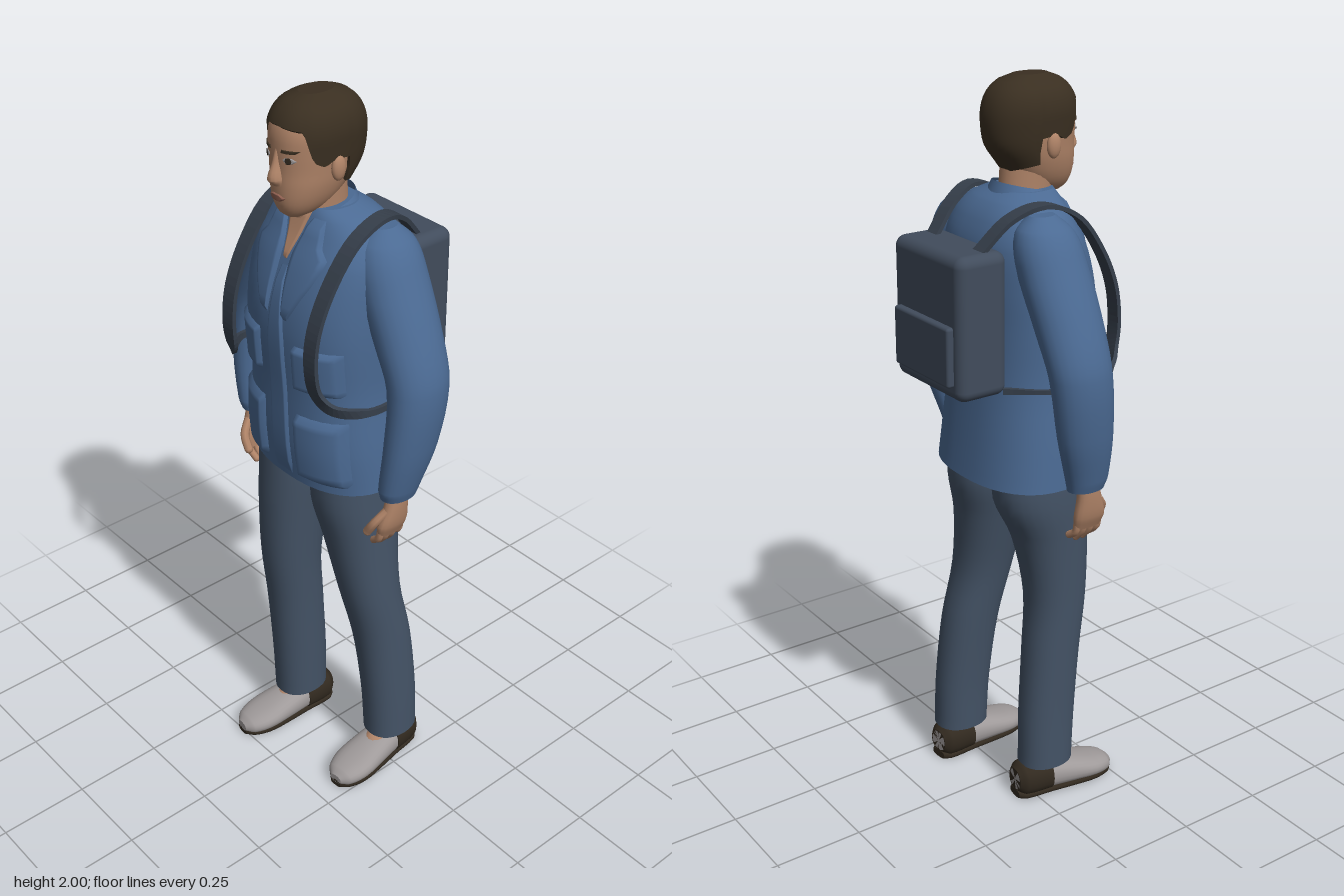
import * as THREE from 'three';
import { RoundedBoxGeometry } from 'three/addons/geometries/RoundedBoxGeometry.js';

const mat = (name, color, side = THREE.FrontSide) =>
  Object.assign(new THREE.MeshStandardMaterial({ color, side }), { name });

// A ring is [y, centreX, centreZ, radiusX, radiusZ]; smooth interpolation between rings.
function at(rings, y) {
  const n = rings.length - 1;
  y = Math.min(Math.max(y, rings[0][0]), rings[n][0]);
  let i = 0;
  while (i < n - 1 && y > rings[i + 1][0]) i++;
  const slope = (j, k) => {
    const a = rings[Math.max(j - 1, 0)], b = rings[Math.min(j + 1, n)];
    return (b[k] - a[k]) / (b[0] - a[0]);
  };
  const a = rings[i], b = rings[i + 1], h = b[0] - a[0], t = (y - a[0]) / h, t2 = t * t, t3 = t2 * t;
  return a.map((v, k) => k === 0 ? y :
    (2 * t3 - 3 * t2 + 1) * v + (t3 - 2 * t2 + t) * h * slope(i, k) +
    (3 * t2 - 2 * t3) * b[k] + (t3 - t2) * h * slope(i + 1, k));
}

// Point on a superelliptic ring; angle 0 is the front, growing towards +x.
function ringPoint([y, cx, cz, rx, rz], a, e, grow = 0) {
  const p = v => Math.sign(v) * Math.abs(v) ** (2 / e);
  return [cx + (rx + grow) * p(Math.sin(a)), y, cz + (rz + grow) * p(Math.cos(a))];
}

// Grid of points (rows upward, columns rightward) to a surface.
function surface(rows, cols, point, closed) {
  const pos = [], idx = [], w = closed ? cols : cols + 1;
  for (let i = 0; i <= rows; i++) for (let j = 0; j < w; j++) pos.push(...point(i / rows, j / cols));
  for (let i = 0; i < rows; i++) for (let j = 0; j < cols; j++) {
    const k = (j + 1) % w, a = i * w + j, b = i * w + k;
    idx.push(a, b, b + w, a, b + w, a + w);
  }
  if (closed) for (const row of [0, rows]) {
    const base = pos.length / 3, mid = [0, 0, 0];
    for (let j = 0; j < cols; j++) {
      const p = point(row / rows, j / cols);
      pos.push(...p);
      p.forEach((v, k) => { mid[k] += v / cols; });
    }
    pos.push(...mid);
    for (let j = 0; j < cols; j++) {
      const k = (j + 1) % cols;
      idx.push(base + cols, base + (row ? j : k), base + (row ? k : j));
    }
  }
  const g = new THREE.BufferGeometry();
  g.setAttribute('position', new THREE.Float32BufferAttribute(pos, 3));
  g.setIndex(idx);
  g.computeVertexNormals();
  return g;
}

function loft(rings, e = 2, cols = 28, grow = 0) {
  const n = rings.length - 1;
  return surface(n * 4, cols, (u, v) => {
    const i = Math.min(Math.floor(u * n), n - 1);
    const y = rings[i][0] + (rings[i + 1][0] - rings[i][0]) * (u * n - i);
    return ringPoint(at(rings, y), v * Math.PI * 2, e, grow);
  }, true);
}

// Padded panel lying on the front of a loft; rows are [y, x0, x1], upward.
function panel(rings, e, rows, off, edge = -0.003) {
  return surface(12, 12, (u, v) => {
    const y = rows[0][0] + (rows[rows.length - 1][0] - rows[0][0]) * u;
    let i = 0;
    while (i < rows.length - 2 && y > rows[i + 1][0]) i++;
    const t = (y - rows[i][0]) / (rows[i + 1][0] - rows[i][0]);
    const x0 = rows[i][1] + (rows[i + 1][1] - rows[i][1]) * t;
    const x1 = rows[i][2] + (rows[i + 1][2] - rows[i][2]) * t;
    const x = x0 + (x1 - x0) * v, r = at(rings, y);
    const q = Math.min(Math.abs((x - r[1]) / r[3]), 1);
    const border = u < 0.01 || u > 0.99 || v < 0.01 || v > 0.99;
    return [x, y, r[2] + r[4] * (1 - q ** e) ** (1 / e) + (border ? edge : off)];
  }, false);
}

// Flat strap; points are [x, y, z, twist, width].
function ribbon(points, thick) {
  const path = new THREE.CatmullRomCurve3(points.map(p => new THREE.Vector3(p[0], p[1], p[2])));
  const form = new THREE.CatmullRomCurve3(points.map(p => new THREE.Vector3(p[3], p[4], 0)));
  return surface(60, 4, (u, v) => {
    const c = path.getPoint(u), t = path.getTangent(u), f = form.getPoint(u);
    const s = new THREE.Vector3(Math.cos(f.x), Math.sin(f.x), 0);
    s.addScaledVector(t, -s.dot(t)).normalize();
    const n = t.clone().cross(s), j = Math.round(v * 4) % 4;
    c.addScaledVector(s, (j === 0 || j === 3 ? 1 : -1) * f.y / 2);
    return c.addScaledVector(n, (j < 2 ? 1 : -1) * thick / 2).toArray();
  }, true).toNonIndexed();
}

const TORSO = [[0.98, 0, 0.017, 0.23, 0.165], [1.1, 0, 0.03, 0.222, 0.165], [1.25, 0, 0.038, 0.208, 0.16],
  [1.4, 0, 0.042, 0.212, 0.163], [1.5, 0, 0.035, 0.212, 0.16], [1.6, 0, 0.022, 0.205, 0.143],
  [1.66, 0, 0.018, 0.178, 0.118], [1.7, 0, 0.025, 0.135, 0.095], [1.725, 0, 0.04, 0.085, 0.072]];
const HEAD = [[1.705, 0, 0.13, 0.02, 0.025], [1.72, 0, 0.115, 0.042, 0.058], [1.75, 0, 0.1, 0.062, 0.085],
  [1.79, 0, 0.085, 0.076, 0.103], [1.83, 0, 0.07, 0.083, 0.117], [1.88, 0, 0.066, 0.088, 0.122],
  [1.92, 0, 0.066, 0.089, 0.119], [1.955, 0, 0.066, 0.078, 0.104], [1.98, 0, 0.066, 0.055, 0.076],
  [1.993, 0, 0.066, 0.025, 0.04]];
const ARM = [[1.0, 0.283, 0.042, 0.036, 0.052], [1.03, 0.287, 0.042, 0.042, 0.06], [1.155, 0.303, 0.022, 0.054, 0.077],
  [1.315, 0.304, 0.004, 0.065, 0.084], [1.42, 0.264, 0, 0.078, 0.088], [1.58, 0.188, -0.005, 0.083, 0.09],
  [1.65, 0.165, -0.008, 0.067, 0.075], [1.69, 0.155, -0.01, 0.03, 0.035]];
const LEGS = {
  left: [[0.1, 0.19, -0.035, 0.066, 0.078], [0.25, 0.185, -0.03, 0.068, 0.08], [0.45, 0.17, -0.012, 0.074, 0.081],
    [0.62, 0.152, 0.02, 0.082, 0.083], [0.8, 0.125, 0.03, 0.096, 0.102], [0.92, 0.11, 0.029, 0.105, 0.128], [1.05, 0.11, 0.029, 0.1, 0.128]],
  right: [[0.1, -0.115, 0.047, 0.066, 0.078], [0.25, -0.113, 0.052, 0.068, 0.08], [0.45, -0.113, 0.064, 0.073, 0.08],
    [0.62, -0.112, 0.076, 0.08, 0.084], [0.8, -0.108, 0.06, 0.092, 0.104], [0.92, -0.104, 0.031, 0.103, 0.13], [1.05, -0.104, 0.029, 0.1, 0.128]],
};
// Shoe sections run from heel to toe: [z, x, -height, half width, half height]
const SHOE = [[0, 0, -0.055, 0.028, 0.03], [0.02, 0, -0.054, 0.044, 0.046], [0.1, 0, -0.052, 0.05, 0.046],
  [0.17, 0, -0.045, 0.057, 0.04], [0.24, 0, -0.036, 0.06, 0.031], [0.29, 0, -0.029, 0.044, 0.024], [0.31, 0, -0.025, 0.02, 0.013]];

export function createModel() {
  const model = new THREE.Group();
  const jacket = mat('jacket blue', 0x4b6a93, THREE.DoubleSide), pants = mat('trouser slate', 0x445366);
  const pack = mat('pack slate', 0x414c5c), strap = mat('strap dark slate', 0x363f4b);
  const skin = mat('skin', 0xb08468), lips = mat('lips', 0x8f5f50);
  const hair = mat('hair dark brown', 0x3a2f21, THREE.DoubleSide), white = mat('shoe grey', 0x9f9a9a);
  const sole = mat('sole dark brown', 0x31291f);
  const add = (name, geometry, material, parent = model) => {
    const m = new THREE.Mesh(geometry, material);
    m.name = name;
    parent.add(m);
    return m;
  };
  const flip = (rings, s) => rings.map(r => [r[0], r[1] * s, ...r.slice(2)]);
  const side = (rows, s) => rows.map(([y, a, b]) => s > 0 ? [y, a, b] : [y, -b, -a]);

  // Jacket body, neck opening and front band
  add('jacketBody', loft(TORSO, 2.4, 40), jacket);
  add('neck', loft([[1.6, 0, 0.05, 0.06, 0.07], [1.7, 0, 0.055, 0.058, 0.074], [1.8, 0, 0.06, 0.062, 0.07]]), skin);
  add('neckOpening', panel(TORSO, 2.4, [[1.595, -0.002, 0.004], [1.722, -0.04, 0.042]], 0.006), skin);
  add('frontBand', panel(TORSO, 2.4, [[0.985, -0.03, 0.04], [1.4, -0.025, 0.035], [1.6, -0.006, 0.012]], 0.007), jacket);
  // Standing collar, lower at the front
  add('collar', surface(4, 32, (u, v) => {
    const a = 0.6 + v * (Math.PI * 2 - 1.2), back = (1 - Math.cos(a)) / 2;
    return ringPoint([1.68 + u * (0.03 + 0.035 * back), 0, 0.045, 0.115 - 0.04 * u, 0.102 - 0.024 * u], a, 2);
  }, false), jacket);

  // Head, hair cap with hairline, facial features
  add('head', loft(HEAD, 2.2, 36), skin);
  const hairline = [[0, 1.942], [0.75, 1.935], [1.0, 1.86], [1.25, 1.845], [1.45, 1.86], [1.75, 1.855], [1.9, 1.79], [3.15, 1.765]];
  add('hair', surface(16, 72, (u, v) => {
    const a = v * Math.PI * 2, d = Math.min(a, Math.PI * 2 - a);
    const i = hairline.findIndex((h, k) => d <= hairline[k + 1][0]), [p, q] = [hairline[i], hairline[i + 1]];
    const low = p[1] + (q[1] - p[1]) * (d - p[0]) / (q[0] - p[0]), y = low + (1.993 - low) * u;
    const point = ringPoint(at(HEAD, y), a, 2.2, 0.007);
    point[1] += 0.007 * u;
    return point;
  }, true), hair);
  add('nose', loft([[1.795, 0, 0.182, 0.016, 0.014], [1.812, 0, 0.186, 0.019, 0.025], [1.85, 0, 0.18, 0.011, 0.018], [1.885, 0, 0.176, 0.008, 0.012]], 2, 14), skin);
  add('mouth', panel(HEAD, 2.2, [[1.756, -0.012, 0.012], [1.766, -0.028, 0.028], [1.774, -0.01, 0.01]], 0.005, 0.001), lips);

  for (const s of [1, -1]) {
    const name = s > 0 ? 'left' : 'right';
    const on = (part, rows, off, m, base = TORSO, e = 2.4, edge) => add(name + part, panel(base, e, side(rows, s), off, edge), m);
    on('EyeWhite', [[1.856, 0.03, 0.044], [1.863, 0.022, 0.053], [1.87, 0.03, 0.044]], 0.003, white, HEAD, 2.2, 0.001);
    on('Iris', [[1.855, 0.033, 0.042], [1.863, 0.03, 0.045], [1.871, 0.033, 0.042]], 0.005, sole, HEAD, 2.2, 0.004);
    on('Eyebrow', [[1.88, 0.017, 0.05], [1.888, 0.02, 0.06]], 0.004, hair, HEAD, 2.2, 0.001);
    const ear = add(name + 'Ear', new THREE.SphereGeometry(1, 14, 10), skin);
    ear.position.set(s * 0.09, 1.835, 0.075);
    ear.scale.set(0.013, 0.032, 0.02);

    // Lapels and pockets
    on('Lapel', [[1.45, 0.03, 0.04], [1.56, 0.018, 0.1], [1.62, 0.016, 0.125], [1.64, 0.022, 0.1], [1.71, 0.045, 0.08]], 0.01, jacket);
    on('ChestPocket', [[1.27, 0.06, 0.185], [1.4, 0.06, 0.185]], 0.012, jacket);
    on('HipPocket', [[1.0, 0.06, 0.2], [1.2, 0.055, 0.19]], 0.014, jacket);

    // Sleeve and hand
    add(name + 'Sleeve', loft(flip(ARM, s), 2.1, 24), jacket);
    const hand = new THREE.Group();
    hand.name = name + 'Hand';
    model.add(hand);
    add('palm', loft(flip([[0.885, 0.272, 0.058, 0.014, 0.04], [0.92, 0.28, 0.058, 0.021, 0.046], [0.97, 0.286, 0.052, 0.022, 0.036], [1.02, 0.286, 0.045, 0.023, 0.029]], s), 2.3, 16), skin, hand);
    const digit = (label, pts, r) => {
      const v = pts.map(p => new THREE.Vector3(p[0] * s, p[1], p[2]));
      add(label, new THREE.TubeGeometry(new THREE.CatmullRomCurve3(v), 8, r, 8), skin, hand);
      add(label + 'Tip', new THREE.SphereGeometry(r, 8, 6), skin, hand).position.copy(v[v.length - 1]);
    };
    for (let i = 0; i < 4; i++) {
      const z = 0.025 + i * 0.022, drop = [0.012, 0, 0, 0.008][i];
      digit('finger', [[0.275, 0.905, z], [0.268, 0.875, z], [0.245, 0.847 + drop, z - 0.003]], 0.01);
    }
    digit('thumb', [[0.285, 0.965, 0.08], [0.268, 0.93, 0.108], [0.247, 0.895, 0.112]], 0.012);

    // Trouser leg, ankle and shoe
    const leg = LEGS[name], foot = new THREE.Group();
    add(name + 'TrouserLeg', loft(leg, 2.2, 28), pants);
    foot.name = name + 'Shoe';
    foot.position.set(leg[0][1] - s * 0.008, 0, s > 0 ? -0.12 : -0.05);
    foot.rotation.y = s * 0.09;
    model.add(foot);
    add('ankle', new THREE.CylinderGeometry(0.038, 0.04, 0.08, 18), skin, foot).position.set(0, 0.09, 0.085);
    const instep = add('instep', new THREE.SphereGeometry(1, 16, 10), skin, foot);
    instep.position.set(0, 0.07, 0.13);
    instep.scale.set(0.036, 0.028, 0.05);
    add('upper', loft(SHOE, 2.3, 24).rotateX(Math.PI / 2), white, foot);
    add('heel', loft(SHOE.slice(0, 3), 2.3, 24, 0.003).rotateX(Math.PI / 2), sole, foot);
    add('sole', loft(SHOE.map(r => [r[0], 0, -0.011, r[3] * 0.93, 0.011]), 3, 20).rotateX(Math.PI / 2), sole, foot);

    // Shoulder strap passing under the arm to the pack
    add(name + 'Strap', ribbon([[0.1, 1.6, -0.16, 0, 0.042], [0.125, 1.68, -0.08, 0, 0.042], [0.15, 1.708, 0, 0, 0.042],
      [0.158, 1.675, 0.09, 0, 0.042], [0.158, 1.58, 0.168, 0, 0.042], [0.158, 1.475, 0.215, 0, 0.042], [0.16, 1.38, 0.226, 0, 0.042],
      [0.168, 1.31, 0.215, 0.4, 0.04], [0.2, 1.272, 0.19, 1.1, 0.03], [0.25, 1.262, 0.12, 1.57, 0.018],
      [0.235, 1.255, 0, 1.57, 0.016], [0.14, 1.25, -0.11, 1.57, 0.016]].map(p => [p[0] * s + 0.004, p[1], p[2], p[3] * s, p[4]]), 0.011), strap)
      .geometry.computeVertexNormals();
  }

  // Trouser seat under the jacket
  add('trouserSeat', loft([[0.925, 0, 0.03, 0.12, 0.08], [0.96, 0, 0.029, 0.19, 0.12], [1.05, 0, 0.029, 0.2, 0.125]], 2.4), pants);

  // Backpack with outer pocket
  add('backpack', new RoundedBoxGeometry(0.305, 0.37, 0.145, 4, 0.028), pack).position.set(0.008, 1.425, -0.17);
  add('backpackPocket', new RoundedBoxGeometry(0.245, 0.155, 0.035, 3, 0.008), pack).position.set(0.008, 1.357, -0.243);
  return model;
}
